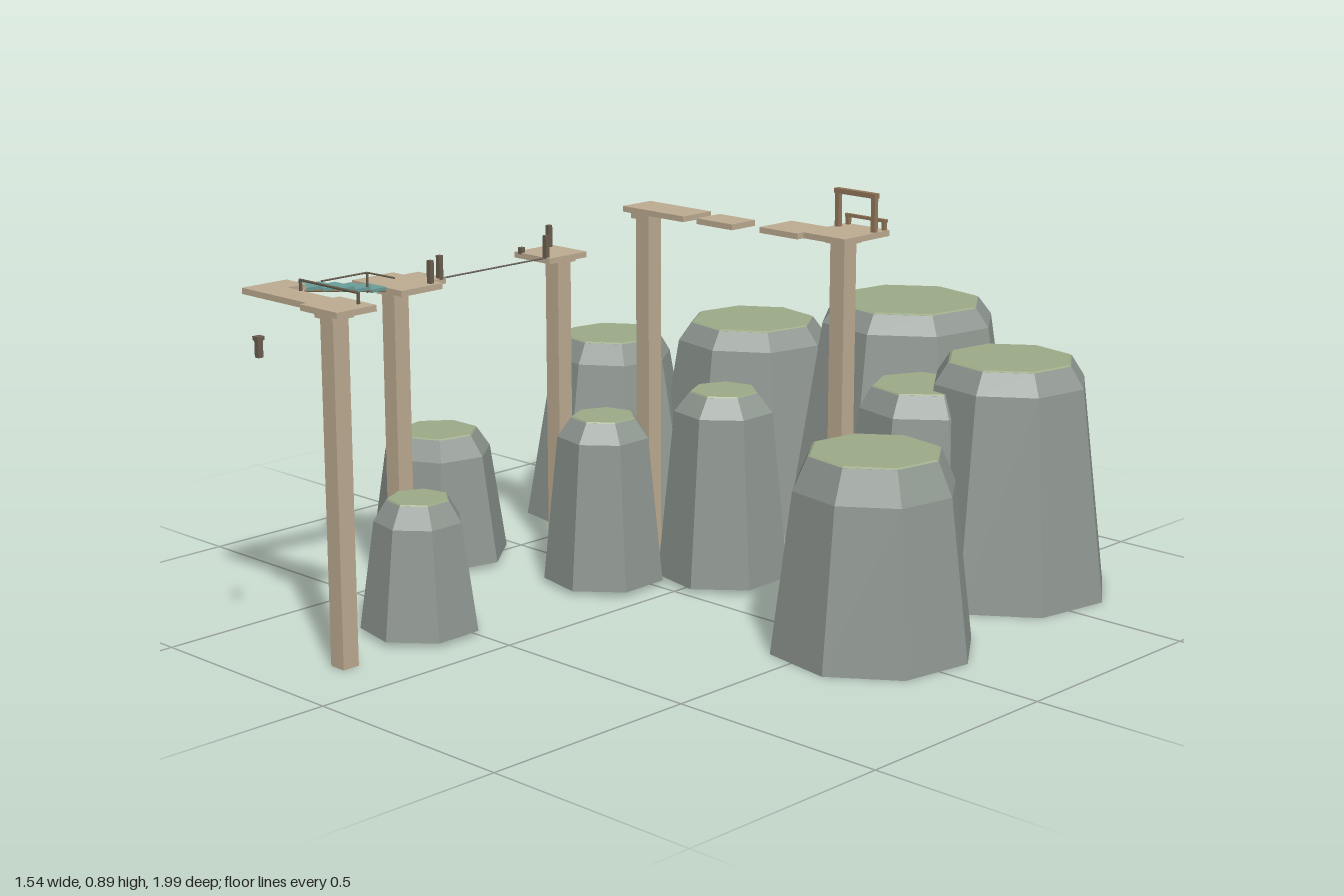
import * as THREE from 'three';

const mat = (name, color, flat = false) => {
  const m = new THREE.MeshStandardMaterial({ color, flatShading: flat });
  m.name = name;
  return m;
};

export function createModel() {
  const root = new THREE.Group();
  const stone = mat('grey stone', 0x8f9791, true);
  const grass = mat('sage grass', 0x9cab88, true);
  const wood = mat('pale wood', 0xbfad93);
  const timber = mat('brown timber', 0x94795a);
  const dark = mat('dark post', 0x6b5f50);
  const teal = mat('teal plank', 0x6a9e9a);
  const rope = mat('rope', 0x6f6a62);

  // Box given by its limits on each axis
  const box = (name, m, x0, x1, y0, y1, z0, z1, parent = root) => {
    const mesh = new THREE.Mesh(new THREE.BoxGeometry(x1 - x0, y1 - y0, z1 - z0), m);
    mesh.position.set((x0 + x1) / 2, (y0 + y1) / 2, (z0 + z1) / 2);
    mesh.name = name;
    parent.add(mesh);
    return mesh;
  };
  const post = (name, m, x, y0, y1, z, w = 0.012) =>
    box(name, m, x - w / 2, x + w / 2, y0, y1, z - w / 2, z + w / 2);
  // Thin bar between two points
  const bar = (name, m, a, b, r) => {
    const curve = new THREE.LineCurve3(new THREE.Vector3(...a), new THREE.Vector3(...b));
    const mesh = new THREE.Mesh(new THREE.TubeGeometry(curve, 1, r, 5), m);
    mesh.name = name;
    root.add(mesh);
  };

  // Rock pillars: x, z, base radius, height, shoulder drop, shoulder ratio, top ratio, sides, angle in degrees, foot
  const rocks = [
    [0.07, -0.715, 0.293, 0.565, 0.045, 0.71, 0.60, 8, 13, 0],
    [-0.325, -0.61, 0.253, 0.475, 0.045, 0.72, 0.60, 8, 11, 0],
    [-0.567, -0.37, 0.212, 0.44, 0.05, 0.68, 0.55, 8, 12, 0],
    [0.50, -0.545, 0.237, 0.525, 0.05, 0.74, 0.61, 8, 13, 0],
    [0.549, -0.027, 0.222, 0.425, 0.075, 0.80, 0.655, 8, 13, 0],
    [0.345, -0.43, 0.195, 0.46, 0.05, 0.72, 0.58, 7, 13, 0],
    [0.0, -0.16, 0.15, 0.435, 0.045, 0.75, 0.52, 7, 14, 0.01],
    [-0.175, 0.045, 0.137, 0.383, 0.045, 0.76, 0.54, 7, 14, 0.01],
    [-0.575, 0.185, 0.16, 0.303, 0.048, 0.77, 0.58, 7, 0, 0.01],
    [-0.21, 0.56, 0.13, 0.294, 0.048, 0.74, 0.53, 7, 14, 0.01],
  ];
  for (const [x, z, r, h, drop, ks, kt, n, deg, foot] of rocks) {
    const g = new THREE.Group();
    g.name = 'rockPillar';
    g.position.set(x, 0, z);
    g.rotation.y = THREE.MathUtils.degToRad(deg);
    const part = (name, m, rTop, rBottom, y0, y1, open) => {
      const mesh = new THREE.Mesh(new THREE.CylinderGeometry(rTop, rBottom, y1 - y0, n, 1, open), m);
      mesh.position.y = (y0 + y1) / 2;
      mesh.name = name;
      g.add(mesh);
    };
    part('rockBody', stone, r * ks, r, foot, h - drop, false);
    part('rockShoulder', stone, r * kt, r * ks, h - drop, h - 0.003, false);
    part('grassTop', grass, r * kt * 0.96, r * kt * 0.99, h - 0.003, h, false);
    root.add(g);
  }

  // Square columns with small capitals: x, z, height
  for (const [x, z, h] of [[-0.385, 0.4625, 0.705], [-0.385, -0.02, 0.705],
    [-0.265, -0.19, 0.797], [0.244, -0.275, 0.797], [-0.15, 0.82, 0.746]]) {
    post('column', wood, x, 0, h - 0.01, z, 0.04);
    post('capital', wood, x, h - 0.012, h, z, 0.056);
  }

  // Decks: x range, z range, underside height
  for (const [x0, x1, z0, z1, y] of [
    [-0.317, -0.127, -0.25, -0.16, 0.797], [-0.09, 0.017, -0.24, -0.165, 0.797],
    [0.08, 0.19, -0.29, -0.185, 0.797], [0.185, 0.307, -0.355, -0.205, 0.797],
    [-0.443, -0.328, -0.055, 0.06, 0.705], [-0.43, -0.34, 0.357, 0.405, 0.705],
    [-0.465, -0.302, 0.4, 0.515, 0.705], [-0.205, -0.09, 0.76, 0.862, 0.746],
    [-0.415, -0.2, 0.778, 0.845, 0.746], [-0.415, -0.35, 0.73, 0.78, 0.746],
  ]) box('deck', wood, x0, x1, y, y + 0.013, z0, z1);

  // Teal stepped bridge
  const steps = 5, depth = 0.215 / steps;
  for (let i = 0; i < steps; i++) {
    const z = 0.515 + i * depth, y = 0.713 + i * 0.0075;
    box('bridgePlank', teal, -0.415, -0.35, y, y + 0.007, z + 0.001, z + depth - 0.002);
  }
  for (const x of [-0.41, -0.355])
    bar('bridgeBeam', timber, [x, 0.71, 0.51], [x, 0.745, 0.735], 0.003);

  // Rail beside the bridge and on the near deck
  bar('bridgeRail', dark, [-0.353, 0.758, 0.565], [-0.353, 0.758, 0.69], 0.002);
  bar('bridgeRail', dark, [-0.353, 0.758, 0.565], [-0.353, 0.735, 0.49], 0.002);
  post('railPost', dark, -0.353, 0.715, 0.758, 0.565, 0.004);
  bar('deckRail', dark, [-0.307, 0.782, 0.78], [-0.12, 0.782, 0.78], 0.003);
  for (const x of [-0.305, -0.122]) post('railPost', dark, x, 0.757, 0.783, 0.78, 0.005);

  // Mooring posts, rope line and the loose post
  for (const [x, z] of [[-0.345, 0.37], [-0.318, 0.42], [-0.43, -0.035], [-0.345, 0.055]])
    post('mooringPost', dark, x, 0.715, 0.768, z, 0.011);
  post('shortPost', dark, -0.425, 0.715, 0.73, 0.055, 0.011);
  bar('ropeLine', rope, [-0.345, 0.717, 0.055], [-0.345, 0.717, 0.37], 0.002);
  post('loosePost', dark, -0.182, 0.675, 0.715, 0.985, 0.012);
  post('loosePostCap', dark, -0.182, 0.71, 0.718, 0.985, 0.017);

  // Gate and low fence on the far deck
  for (const x of [0.197, 0.299]) {
    post('gatePost', timber, x, 0.808, 0.888, -0.312, 0.011);
    post('fencePost', timber, x, 0.808, 0.832, -0.346, 0.009);
  }
  box('gateBeam', timber, 0.19, 0.306, 0.884, 0.895, -0.319, -0.305);
  box('fenceRail', timber, 0.19, 0.306, 0.827, 0.834, -0.35, -0.342);

  return root;
}
